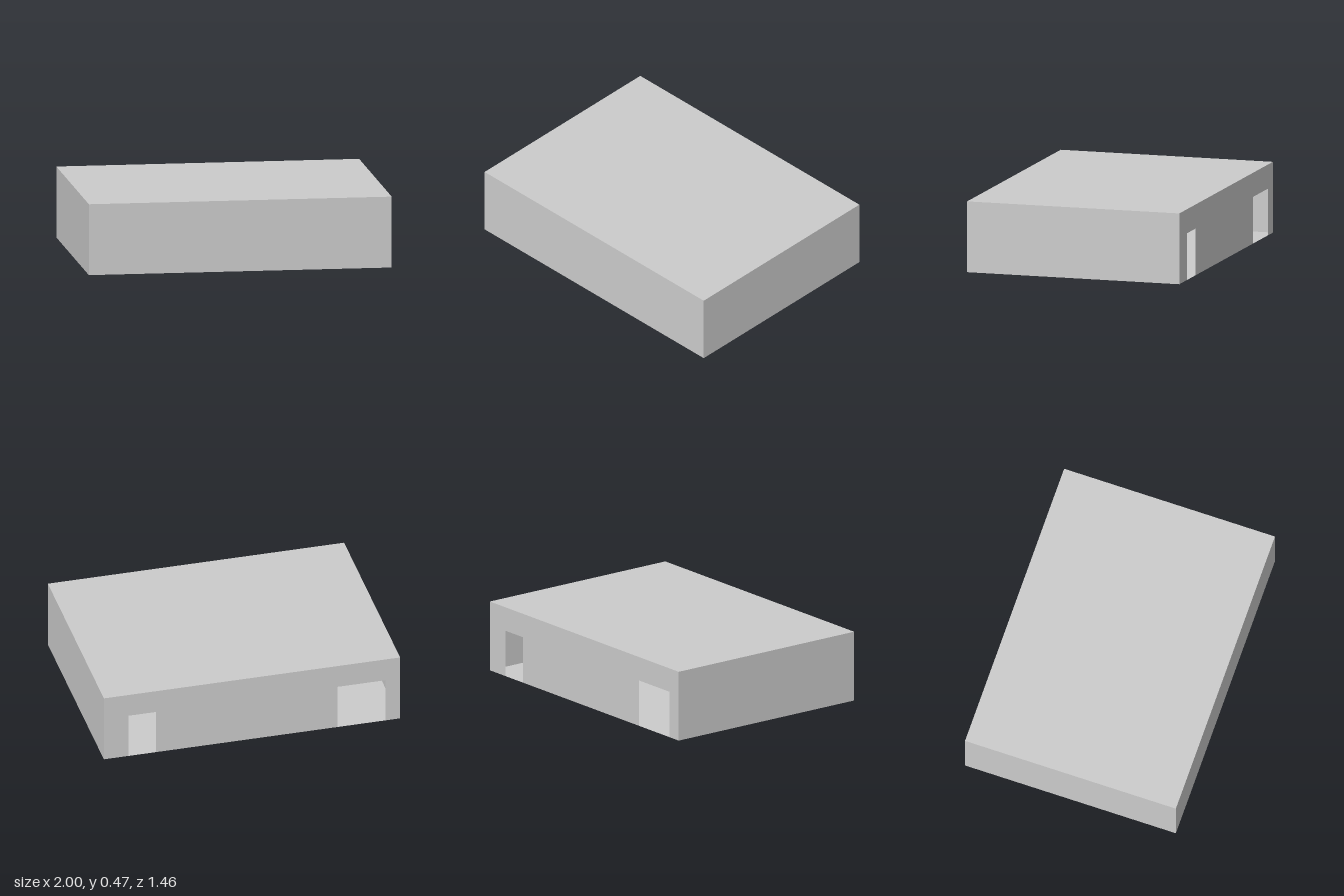
import * as THREE from 'three';

const W = 2, H = 0.47, D = 1.456;
const DOOR_H = 0.31;
const DOORS = [[-0.9, -0.577], [0.65, 0.835]]; // x ranges, wide and narrow doorway

export function createModel() {
  const group = new THREE.Group();
  const material = new THREE.MeshStandardMaterial({
    color: 0xcccccc, side: THREE.DoubleSide, flatShading: true,
  });

  const add = (name, geometry, position, rotation = [0, 0, 0]) => {
    const mesh = new THREE.Mesh(geometry, material);
    mesh.name = name;
    mesh.position.set(...position);
    mesh.rotation.set(...rotation);
    group.add(mesh);
  };
  const q = Math.PI / 2;

  // Thin floor and flat roof
  add('floor', new THREE.PlaneGeometry(W, D), [0, 0, 0], [q, 0, 0]);
  add('roof', new THREE.PlaneGeometry(W, D), [0, H, 0], [-q, 0, 0]);

  // Solid walls
  add('frontWall', new THREE.PlaneGeometry(W, H), [0, H / 2, D / 2]);
  add('leftWall', new THREE.PlaneGeometry(D, H), [W / 2, H / 2, 0], [0, q, 0]);
  add('rightWall', new THREE.PlaneGeometry(D, H), [-W / 2, H / 2, 0], [0, -q, 0]);

  // Back wall, notched from the floor up for the two doorways
  const outline = new THREE.Shape();
  outline.moveTo(-W / 2, 0);
  for (const [x0, x1] of DOORS) {
    outline.lineTo(x0, 0);
    outline.lineTo(x0, DOOR_H);
    outline.lineTo(x1, DOOR_H);
    outline.lineTo(x1, 0);
  }
  outline.lineTo(W / 2, 0);
  outline.lineTo(W / 2, H);
  outline.lineTo(-W / 2, H);
  outline.closePath();
  // Turn the sheet to face backwards while keeping the doorway positions
  const back = new THREE.ShapeGeometry(outline);
  const index = back.index.array;
  for (let i = 0; i < index.length; i += 3) {
    [index[i], index[i + 1]] = [index[i + 1], index[i]];
  }
  back.computeVertexNormals();
  add('backWall', back, [0, 0, -D / 2]);

  return group;
}
